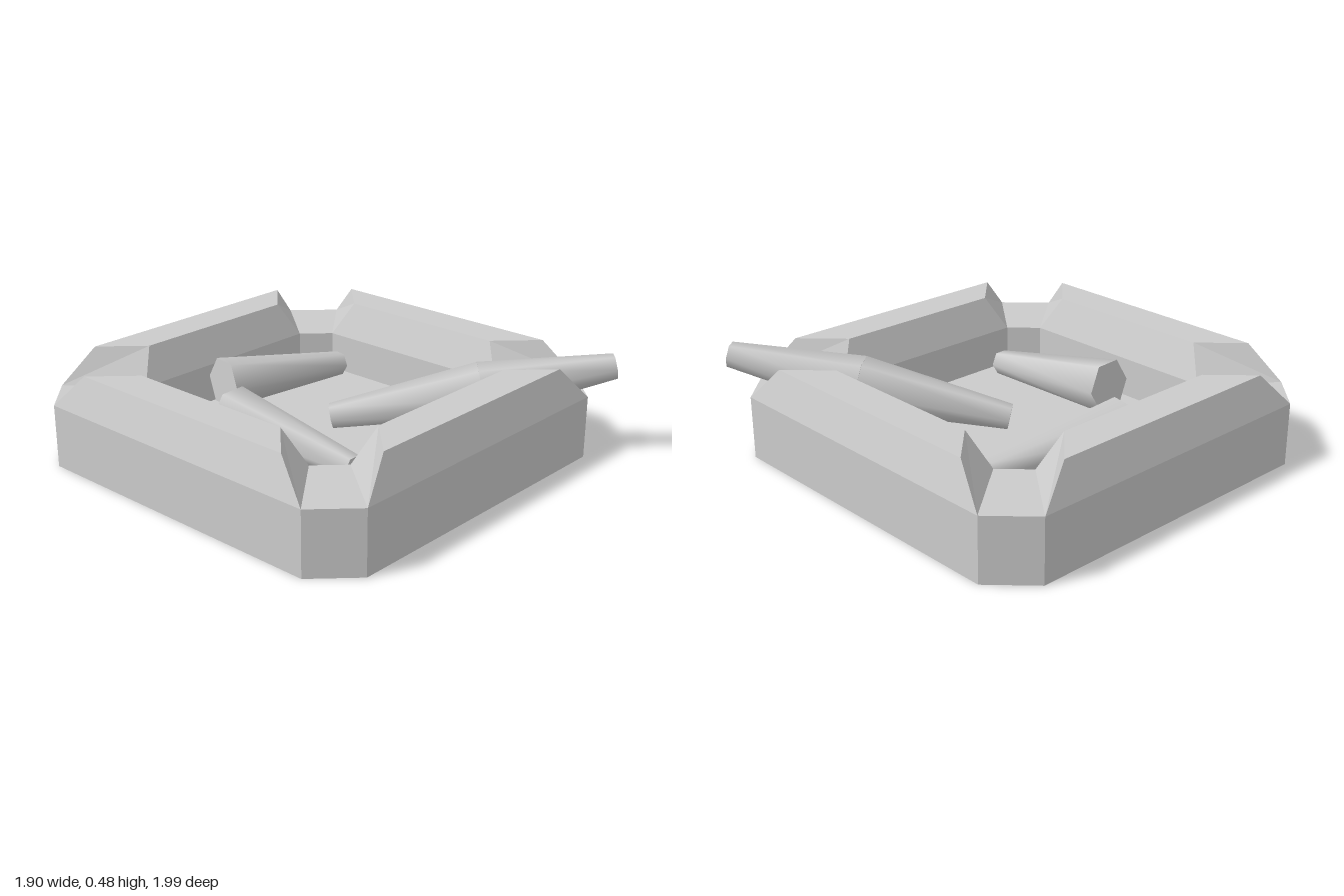
import * as THREE from 'three';

const material = new THREE.MeshStandardMaterial({ color: 0xcccccc });

// Builds a mesh from flat quads repeated around the four sides of the tray.
function fourSided(name, quads) {
  const positions = [];
  for (let side = 0; side < 4; side++) {
    const turn = new THREE.Matrix4().makeRotationY(side * Math.PI / 2);
    for (const [a, b, c, d] of quads) {
      const corners = d ? [a, b, c, a, c, d] : [a, b, c];
      for (const p of corners) positions.push(...new THREE.Vector3(...p).applyMatrix4(turn));
    }
  }
  const geometry = new THREE.BufferGeometry();
  geometry.setAttribute('position', new THREE.Float32BufferAttribute(positions, 3));
  geometry.computeVertexNormals();
  const mesh = new THREE.Mesh(geometry, material);
  mesh.name = name;
  return mesh;
}

// Square tray with cut corners, raised rails and a notch at each corner.
function createTray() {
  const tray = new THREE.Group();
  tray.name = 'tray';
  const floorY = 0.11, rimY = 0.3, topY = 0.465;

  // Cross-section of one side: half length, height, distance from centre
  const section = {
    foot: [0.77, 0, 0.95],
    rim: [0.77, rimY, 0.95],
    topOuter: [0.61, topY, 0.89],
    topInner: [0.43, topY, 0.71],
    inner: [0.52, rimY, 0.64],
    floor: [0.52, floorY, 0.64],
  };
  const L = {}, R = {}, N = {};
  for (const [key, [x, y, z]] of Object.entries(section)) {
    L[key] = [-x, y, z];
    R[key] = [x, y, z];
    N[key] = [z, y, x]; // start of the next side
  }
  const strip = (a, b) => [L[a], R[a], R[b], L[b]];
  const corner = (a, b) => [R[a], N[a], N[b], R[b]];
  const bottomCentre = [0, 0, 0], floorCentre = [0, floorY, 0];

  tray.add(
    fourSided('outerWall', [strip('foot', 'rim'), corner('foot', 'rim')]),
    fourSided('rails', [
      strip('rim', 'topOuter'), strip('topOuter', 'topInner'), strip('topInner', 'inner'),
      [R.rim, R.inner, R.topInner, R.topOuter],
      [L.rim, L.topOuter, L.topInner, L.inner],
    ]),
    fourSided('cornerNotches', [corner('rim', 'inner')]),
    fourSided('innerWall', [strip('inner', 'floor'), corner('inner', 'floor')]),
    fourSided('trayFloor', [[L.floor, R.floor, floorCentre], [R.floor, N.floor, floorCentre]]),
    fourSided('underside', [[R.foot, L.foot, bottomCentre], [N.foot, R.foot, bottomCentre]]),
  );
  tray.position.z = -0.05;
  return tray;
}

// Six-sided tapered roll between two points.
function taper(name, from, to, r0, r1, open = false) {
  const a = new THREE.Vector3(...from), b = new THREE.Vector3(...to);
  const geometry = new THREE.CylinderGeometry(r1, r0, a.distanceTo(b), 6, 1, open, Math.PI / 2);
  geometry.rotateX(Math.PI / 2);
  const mesh = new THREE.Mesh(geometry, material);
  mesh.name = name;
  mesh.position.copy(a).add(b).multiplyScalar(0.5);
  mesh.lookAt(b);
  return mesh;
}

export function createModel() {
  const model = new THREE.Group();
  model.name = 'ashtray';
  model.add(createTray());

  // Stubs lying in the tray
  model.add(
    taper('backStub', [-0.15, 0.25, -0.56], [0.54, 0.2, -0.425], 0.125, 0.06),
    taper('sideStub', [-0.4, 0.26, -0.24], [-0.36, 0.19, 0.465], 0.13, 0.06),
  );

  // Whole roll resting in the front notch, thickest in the middle
  const roll = new THREE.Group();
  roll.name = 'restingRoll';
  const middle = [0.5, 0.31, 0.495];
  roll.add(
    taper('rollInnerHalf', middle, [0.04, 0.17, -0.03], 0.13, 0.06),
    taper('rollOuterHalf', middle, [0.9, 0.43, 0.955], 0.13, 0.06),
  );
  model.add(roll);
  return model;
}
